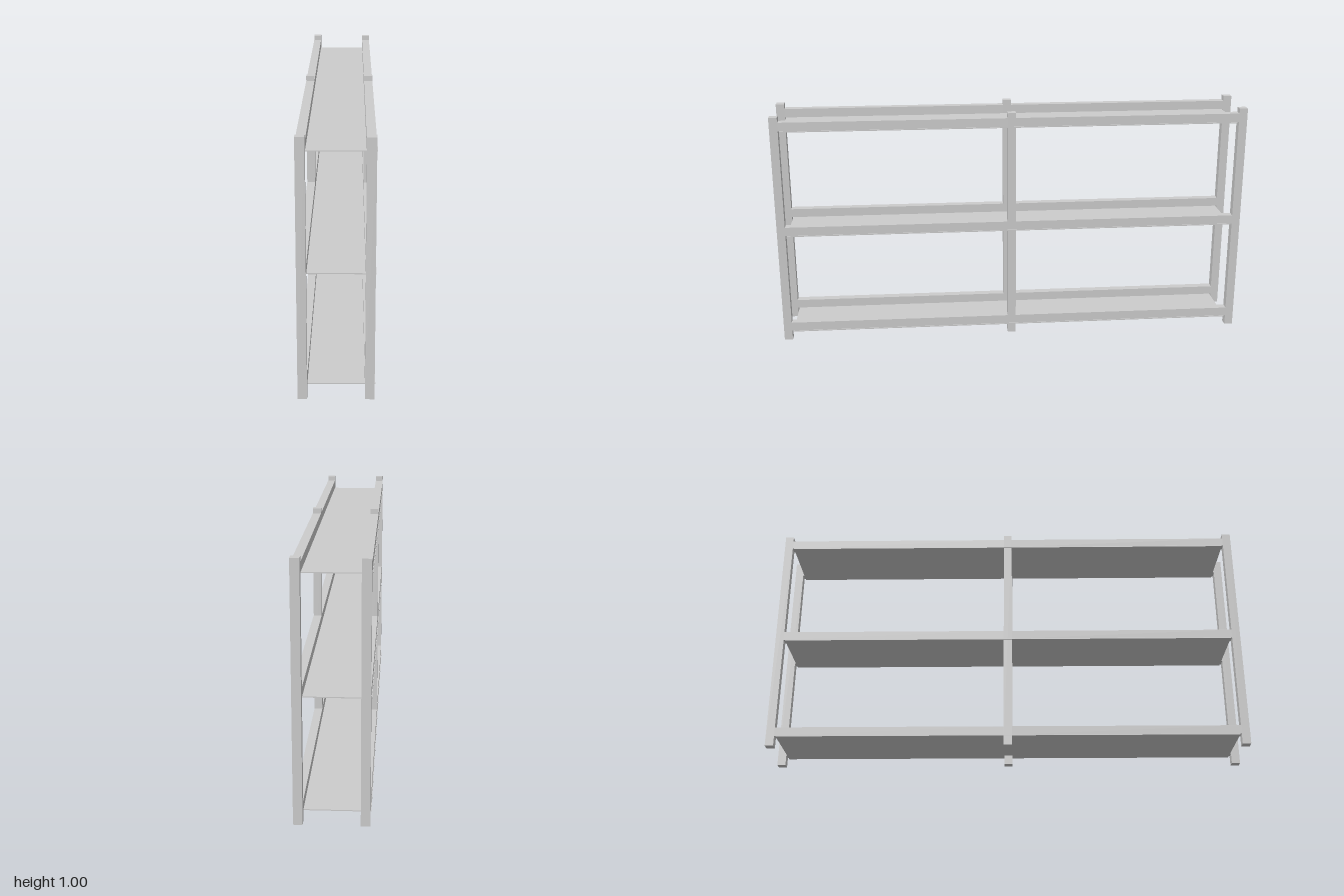
import * as THREE from 'three';

const POST = 0.035; // square section of posts and rails
const HEIGHT = 0.995;
const SIDES = [['right', -0.125], ['left', 0.122]];
const POSTS_Z = [['front', 0.982], ['middle', 0.002], ['back', -0.982]];
const LEVELS = [['bottom', 0.043], ['middle', 0.482], ['top', 0.937]]; // rail undersides

const material = new THREE.MeshStandardMaterial({ color: 0xcccccc, flatShading: true });

function addBox(parent, name, [w, h, d], [x, y, z]) {
  const mesh = new THREE.Mesh(new THREE.BoxGeometry(w, h, d), material);
  mesh.name = name;
  mesh.position.set(x, y, z);
  parent.add(mesh);
}

export function createModel() {
  const model = new THREE.Group();
  model.name = 'shelvingRack';

  for (const [side, x] of SIDES) {
    const frame = new THREE.Group();
    frame.name = `${side}Frame`;
    model.add(frame);

    // Upright posts
    for (const [place, z] of POSTS_Z) {
      addBox(frame, `${place}Post`, [POST, HEIGHT, POST], [x, HEIGHT / 2, z]);
    }

    // Rails run in two spans between neighbouring posts
    for (const [level, y] of LEVELS) {
      for (let i = 0; i < 2; i++) {
        const front = POSTS_Z[i][1] - POST / 2;
        const back = POSTS_Z[i + 1][1] + POST / 2;
        addBox(frame, `${level}Rail`, [POST, 0.037, front - back],
          [x, y + 0.0185, (front + back) / 2]);
      }
    }
  }

  // Thin shelf panels under the rails, slightly wider than the frames
  for (const [level, y] of LEVELS) {
    addBox(model, `${level}Shelf`, [0.288, 0.004, 1.916], [-0.001, y - 0.002, 0]);
  }
  return model;
}
